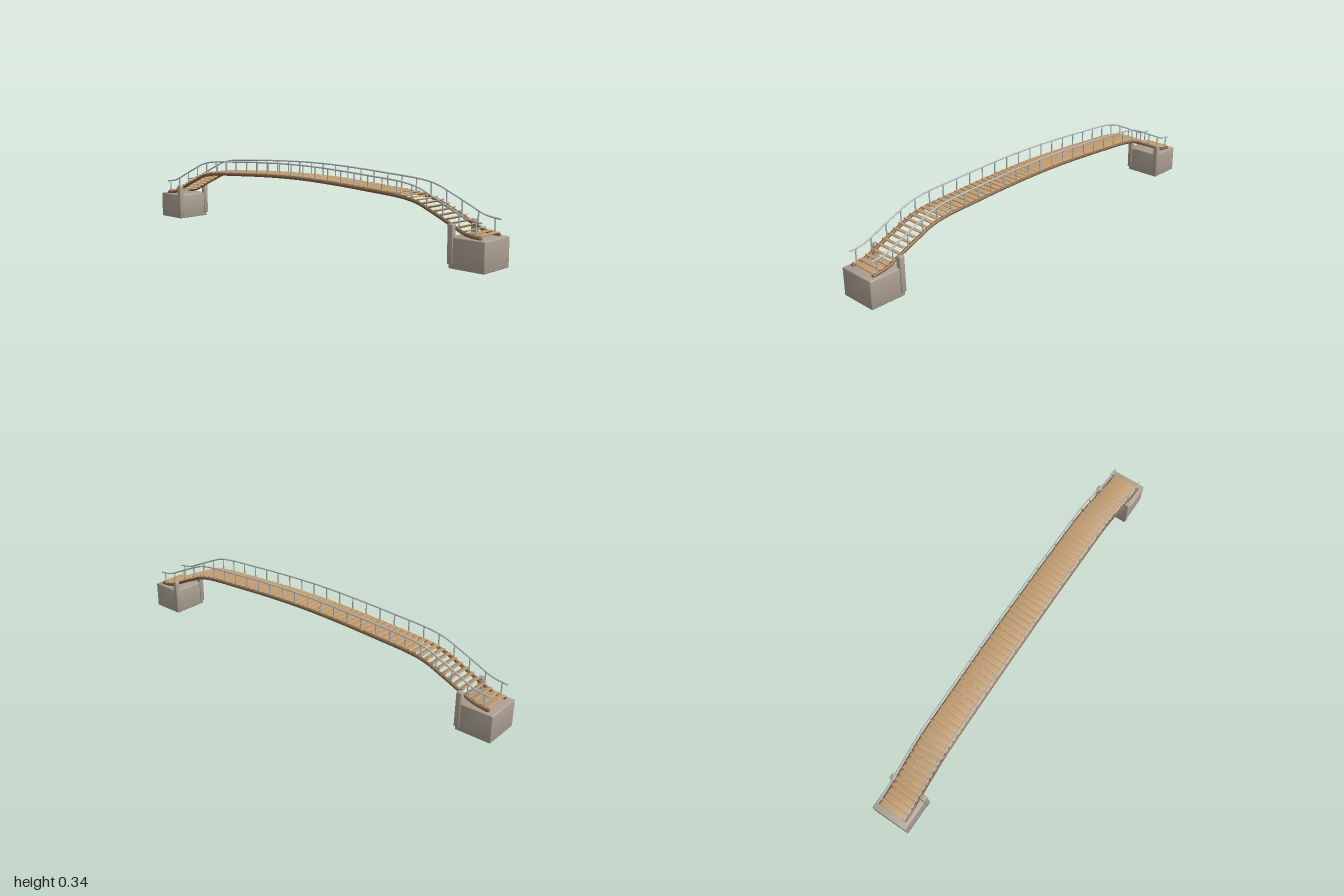
import * as THREE from 'three';
import { RoundedBoxGeometry } from 'three/addons/geometries/RoundedBoxGeometry.js';

const mat = (name, color) => {
  const m = new THREE.MeshStandardMaterial({ color });
  m.name = name;
  return m;
};

// Rounded block whose normals lean slightly outwards, for a soft worn look
function softBlock(w, h, d, radius) {
  const geo = new RoundedBoxGeometry(w, h, d, 3, radius);
  const pos = geo.attributes.position, nor = geo.attributes.normal;
  const size = new THREE.Vector3(w, h, d);
  const n = new THREE.Vector3(), lean = new THREE.Vector3();
  for (let i = 0; i < pos.count; i++) {
    lean.fromBufferAttribute(pos, i).divide(size).multiplyScalar(0.45);
    n.fromBufferAttribute(nor, i).add(lean).normalize();
    nor.setXYZ(i, n.x, n.y, n.z);
  }
  return geo;
}

export function createModel() {
  const stone = mat('stone', 0xaa9e90);
  const plankWood = mat('plank wood', 0xc19c70);
  const beamWood = mat('beam wood', 0x866444);
  const metal = mat('metal', 0xb4b9bc);

  const model = new THREE.Group();
  model.name = 'footbridge';
  const add = (name, geometry, material, x, y, z, rx = 0) => {
    const mesh = new THREE.Mesh(geometry, material);
    mesh.name = name;
    mesh.position.set(x, y, z);
    mesh.rotation.x = rx;
    model.add(mesh);
    return mesh;
  };

  // Arched deck line, mirrored about the middle
  const half = [[0.97, 0.126], [0.9, 0.137], [0.84, 0.163], [0.75, 0.203], [0.65, 0.241], [0.4, 0.263]];
  const profile = [...half, [0, 0.277], ...half.slice().reverse().map(([z, y]) => [-z, y])];
  const curveAt = (dy) => new THREE.CatmullRomCurve3(
    profile.map(([z, y]) => new THREE.Vector3(0, y + dy, z)), false, 'centripetal');
  const deck = curveAt(0);
  const rail = curveAt(0.061);

  // Height of the deck line at a given z
  const samples = deck.getSpacedPoints(400);
  const heightAt = (z) => {
    const i = Math.max(1, samples.findIndex((p) => p.z <= z));
    const a = samples[i - 1], b = samples[i];
    return a.y + (b.y - a.y) * (z - a.z) / (b.z - a.z);
  };

  // Stone abutments with a pillar on each side
  const blockGeo = softBlock(0.174, 0.123, 0.16, 0.004);
  const pillarGeo = softBlock(0.024, 0.156, 0.024, 0.004);
  for (const end of [1, -1]) {
    add('abutment', blockGeo, stone, 0, 0.0615, end * 0.92);
    for (const side of [1, -1]) add('pillar', pillarGeo, stone, side * 0.08, 0.095, end * 0.847);
  }

  // Side beams and handrails, with end caps
  const beamGeo = new THREE.TubeGeometry(deck, 120, 0.0075, 10);
  const railGeo = new THREE.TubeGeometry(rail, 120, 0.0036, 8);
  const beamCap = new THREE.CircleGeometry(0.0075, 10);
  const railCap = new THREE.SphereGeometry(0.0036, 8, 6);
  for (const side of [1, -1]) {
    add('sideBeam', beamGeo, beamWood, side * 0.0645, 0, 0);
    add('handrail', railGeo, metal, side * 0.066, 0, 0);
    for (const end of [1, -1]) {
      const cap = add('beamEnd', beamCap, beamWood, side * 0.0645, 0.126, end * 0.97);
      cap.rotation.y = end > 0 ? 0 : Math.PI;
      add('handrailEnd', railCap, metal, side * 0.066, 0.187, end * 0.97);
    }
  }

  // Closely laid deck planks, each tilted against the slope
  const plankGeo = softBlock(0.13, 0.0055, 0.0305, 0.0025);
  const count = 64;
  for (let i = 0; i < count; i++) {
    const u = (i + 0.5) / count;
    const p = deck.getPointAt(u);
    const t = deck.getTangentAt(u);
    add('plank', plankGeo, plankWood, 0, p.y + 0.0075, p.z, Math.atan(t.y / t.z));
  }

  // Railing rods
  const rodGeo = new THREE.CylinderGeometry(0.003, 0.003, 0.064, 8);
  for (let i = 0; i < 26; i++) {
    const z = (i - 12.5) * 0.0757;
    for (const side of [1, -1]) add('railingRod', rodGeo, metal, side * 0.066, heightAt(z) + 0.0305, z);
  }

  return model;
}
